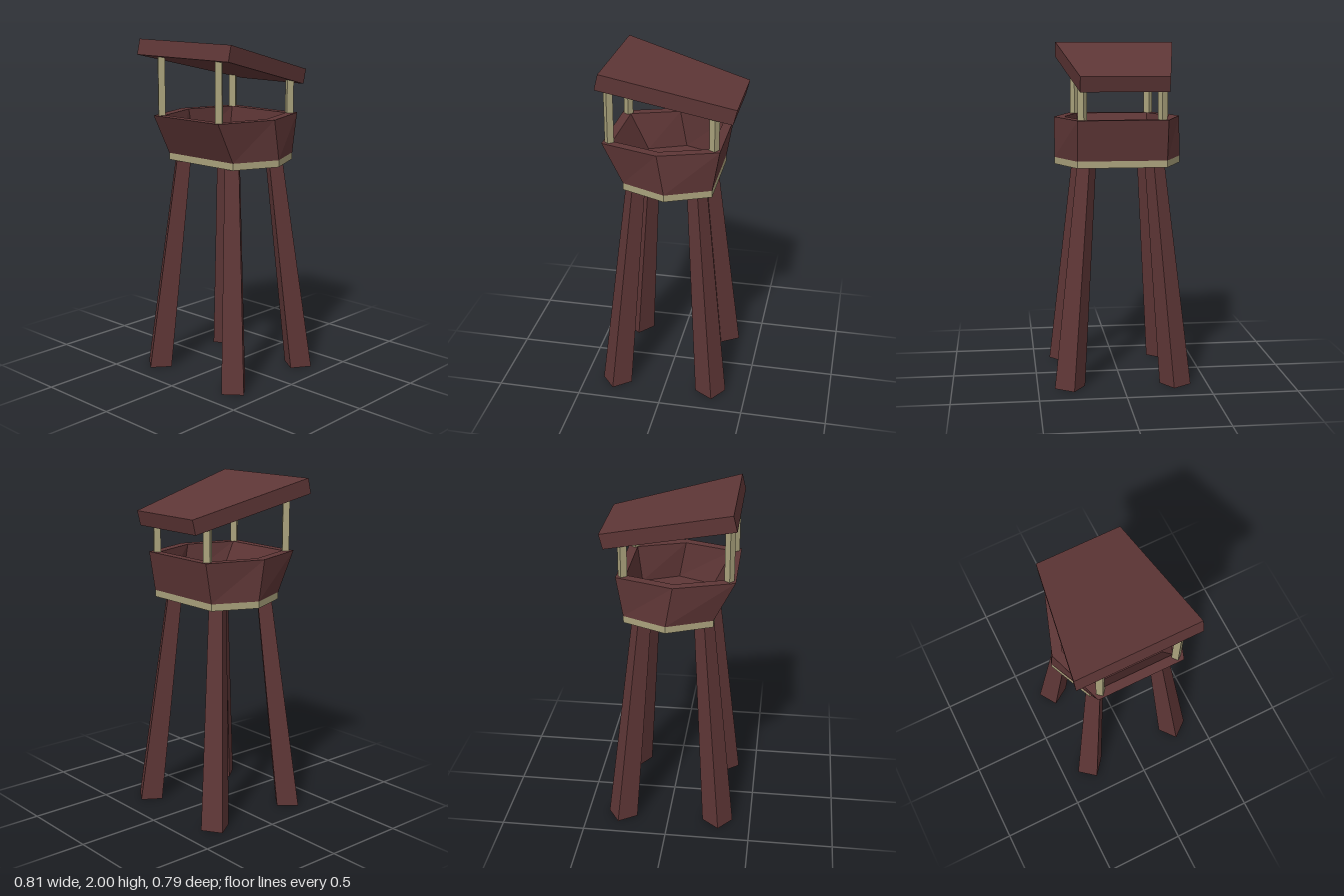
import * as THREE from 'three';

const wood = new THREE.MeshStandardMaterial({ color: 0x5e3636, flatShading: true });
const paleWood = new THREE.MeshStandardMaterial({ color: 0xaaa27c, flatShading: true });

// Skins a stack of rings (counter-clockwise seen from above) and caps both ends
function loft(name, material, rings) {
  const pos = [];
  const tri = (a, b, c) => pos.push(...a, ...b, ...c);
  const n = rings[0].length;
  for (let r = 0; r < rings.length - 1; r++) {
    for (let i = 0; i < n; i++) {
      const j = (i + 1) % n, lo = rings[r], hi = rings[r + 1];
      tri(lo[i], lo[j], hi[j]);
      tri(lo[i], hi[j], hi[i]);
    }
  }
  const first = rings[0], last = rings[rings.length - 1];
  for (let i = 1; i < n - 1; i++) {
    tri(first[0], first[i + 1], first[i]);
    tri(last[0], last[i], last[i + 1]);
  }
  const geometry = new THREE.BufferGeometry();
  geometry.setAttribute('position', new THREE.Float32BufferAttribute(pos, 3));
  geometry.computeVertexNormals();
  const mesh = new THREE.Mesh(geometry, material);
  mesh.name = name;
  return mesh;
}

// Six-sided platform outline: front edge, side corners, back edge
function hexagon(y, front, side, back, scale = 1) {
  const mid = (front + back) / 2;
  return [[-0.26, front], [0.26, front], [0.375, side], [0.26, back], [-0.26, back], [-0.375, side]]
    .map(([x, z]) => [x * scale, y, mid + (z - mid) * scale]);
}

// Square outline standing on its corner, turned a little by twist
function diamond(x, y, z, radius, twist) {
  return [0, 1, 2, 3].map((k) => {
    const a = twist + k * Math.PI / 2;
    return [x + radius * Math.sin(a), y, z + radius * Math.cos(a)];
  });
}

export function createModel() {
  const model = new THREE.Group();
  model.name = 'watchtower';

  // Splayed, tapering legs and roof posts at the four corners
  for (const sx of [-1, 1]) {
    for (const isFront of [true, false]) {
      const label = (isFront ? 'front' : 'back') + (sx > 0 ? 'Left' : 'Right');
      const twist = THREE.MathUtils.degToRad(sx * (isFront ? -6 : 12));
      model.add(loft(label + 'Leg', wood, [
        diamond(sx * 0.312, 0, isFront ? 0.301 : -0.284, 0.092, twist),
        diamond(sx * 0.2, 1.295, isFront ? 0.192 : -0.168, 0.058, twist),
      ]));

      const z = isFront ? 0.332 : -0.268;
      const post = loft(label + 'Post', paleWood, [
        diamond(sx * 0.23, 1.56, z, 0.028, twist),
        diamond(sx * 0.23, isFront ? 1.92 : 1.775, z, 0.028, twist),
      ]);
      model.add(post);
    }
  }

  // Floor plate
  model.add(loft('floor', paleWood, [
    hexagon(1.29, 0.25, -0.01, -0.265),
    hexagon(1.33, 0.25, -0.01, -0.265),
  ]));

  // Flared parapet: up the outside, over the rim, down the inside to the deck
  model.add(loft('parapet', wood, [
    hexagon(1.33, 0.25, -0.01, -0.265),
    hexagon(1.565, 0.37, 0.03, -0.305),
    hexagon(1.565, 0.37, 0.03, -0.305, 0.84),
    hexagon(1.345, 0.25, -0.01, -0.265, 0.84),
  ]));

  // Sloping roof slab, wider at the front
  const roofRing = (yFront, zFront, yBack, zBack) => [
    [-0.385, yFront, zFront], [0.345, yFront, zFront],
    [0.25, yBack, zBack], [-0.255, yBack, zBack],
  ];
  model.add(loft('roof', wood, [
    roofRing(1.91, 0.378, 1.728, -0.372),
    roofRing(2.0, 0.356, 1.815, -0.394),
  ]));

  return model;
}
